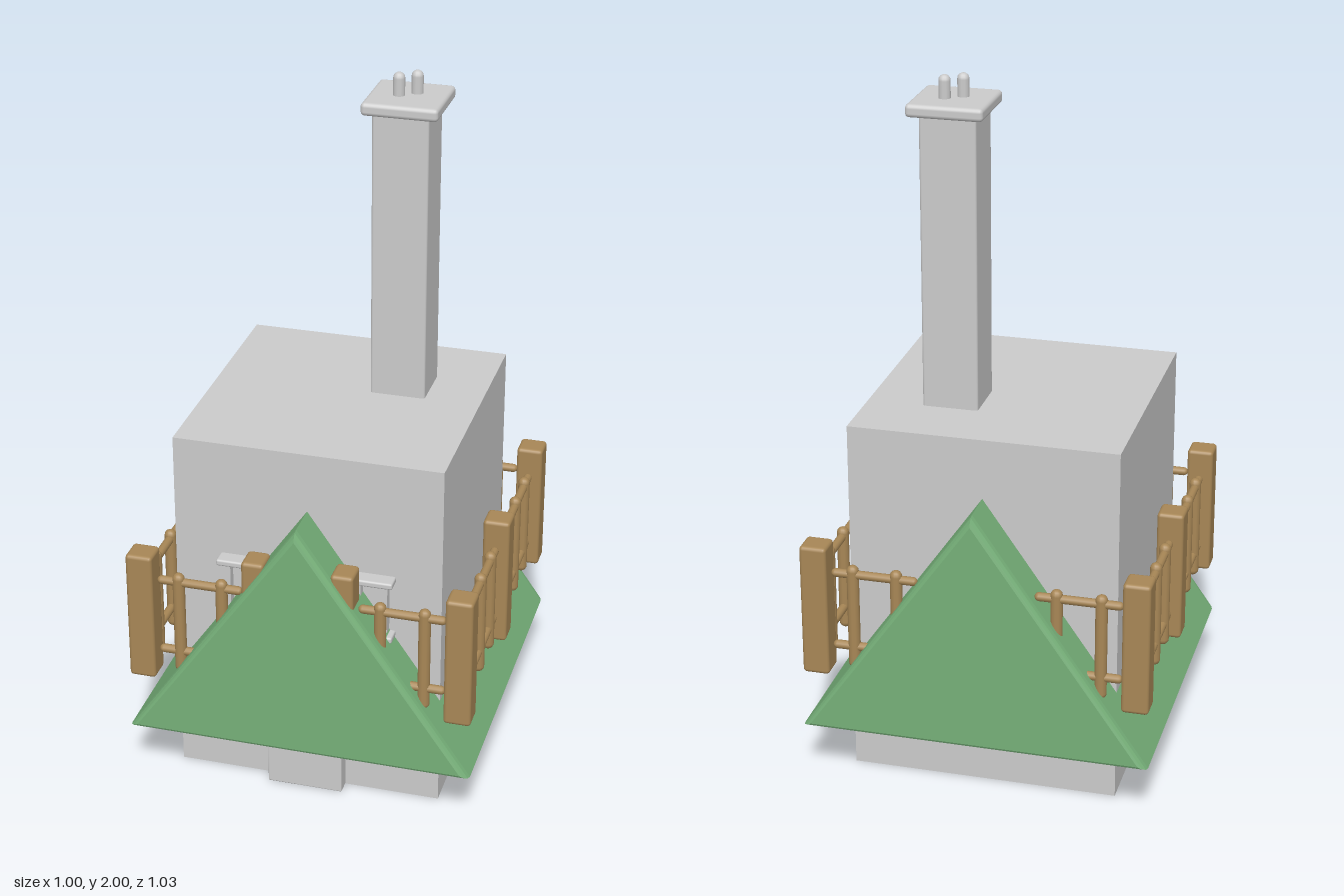
import * as THREE from 'three';
import { RoundedBoxGeometry } from 'three/addons/geometries/RoundedBoxGeometry.js';

const stone = new THREE.MeshStandardMaterial({ color: 0xcccccc });
const wood = new THREE.MeshStandardMaterial({ color: 0xa88756 });
const green = new THREE.MeshStandardMaterial({ color: 0x76b079 });

export function createModel() {
  const model = new THREE.Group();

  const add = (name, geometry, material, x, y, z, parent = model) => {
    const mesh = new THREE.Mesh(geometry, material);
    mesh.name = name;
    mesh.position.set(x, y, z);
    parent.add(mesh);
    return mesh;
  };
  // Box given by its centre in x and z and by its bottom and top
  const block = (name, mat, x, z, w, d, y0, y1, r = 0, parent = model) => {
    const h = y1 - y0;
    const geo = r ? new RoundedBoxGeometry(w, h, d, 2, r) : new THREE.BoxGeometry(w, h, d);
    return add(name, geo, mat, x, (y0 + y1) / 2, z, parent);
  };
  // Round-ended bar with a total length, upright by default
  const bar = (r, length) => new THREE.CapsuleGeometry(r, length - 2 * r, 4, 12);

  // Walls
  block('walls', stone, 0, 0, 0.77, 0.77, 0, 1.06);

  // Gabled roof skirt, bevelled at both gable ends
  const gable = new THREE.Shape();
  gable.moveTo(-0.5, 0.17);
  gable.lineTo(0.5, 0.17);
  gable.lineTo(0, 0.885);
  gable.closePath();
  const roof = new THREE.ExtrudeGeometry(gable, {
    depth: 0.98, bevelEnabled: true, bevelThickness: 0.025,
    bevelSize: 0.02, bevelOffset: -0.02, bevelSegments: 3,
  });
  add('roof', roof, green, 0, 0, -0.49);

  // Chimney with cap and two pots
  const chimney = new THREE.Group();
  chimney.name = 'chimney';
  model.add(chimney);
  block('chimneyStack', stone, 0.145, -0.112, 0.16, 0.158, 1.03, 1.91, 0.008, chimney);
  block('chimneyCap', stone, 0.147, -0.113, 0.216, 0.216, 1.898, 1.935, 0.012, chimney);
  for (const [x, z] of [[0.124, -0.1], [0.168, -0.13]]) {
    add('chimneyPot', bar(0.017, 0.1), stone, x, 1.95, z, chimney);
  }

  // Door
  block('door', stone, 0, 0.405, 0.22, 0.05, 0, 0.5, 0.004);

  // Framed windows beside the door
  for (const s of [-1, 1]) {
    const win = new THREE.Group();
    win.name = s > 0 ? 'leftWindow' : 'rightWindow';
    model.add(win);
    block('windowLintel', stone, s * 0.189, 0.405, 0.13, 0.05, 0.698, 0.717, 0.006, win);
    block('windowSill', stone, s * 0.189, 0.405, 0.13, 0.05, 0.525, 0.544, 0.006, win);
    for (const dx of [-0.038, 0.038]) {
      block('windowJamb', stone, s * 0.189 + dx, 0.395, 0.018, 0.03, 0.535, 0.705, 0, win);
    }
  }

  // Fence posts: corners, middle of the sides and the front gateway
  for (const s of [-1, 1]) {
    for (const z of [-0.46, 0, 0.46]) {
      block('fencePost', wood, s * 0.459, z, 0.078, 0.078, 0.338, 0.732, 0.011);
    }
    block('gatePost', wood, s * 0.128, 0.456, 0.065, 0.078, 0.36, 0.758, 0.011);
  }

  // One fence panel along x, centred on its group: two rails and balusters
  const panel = (length, balusters) => {
    const group = new THREE.Group();
    group.name = 'fencePanel';
    for (const y of [0.42, 0.645]) {
      add('rail', bar(0.0125, length), wood, 0, y, 0, group).rotation.z = Math.PI / 2;
    }
    for (const x of balusters) add('baluster', bar(0.0175, 0.32), wood, x, 0.513, 0, group);
    model.add(group);
    return group;
  };
  for (const s of [-1, 1]) {
    for (const t of [-1, 1]) {
      const side = panel(0.38, [-0.125, 0, 0.125]);
      side.position.set(s * 0.459, 0, t * 0.23);
      side.rotation.y = Math.PI / 2;
      panel(0.25, [-0.063, 0.063]).position.set(s * 0.292, 0, t * 0.458);
    }
  }

  return model;
}
